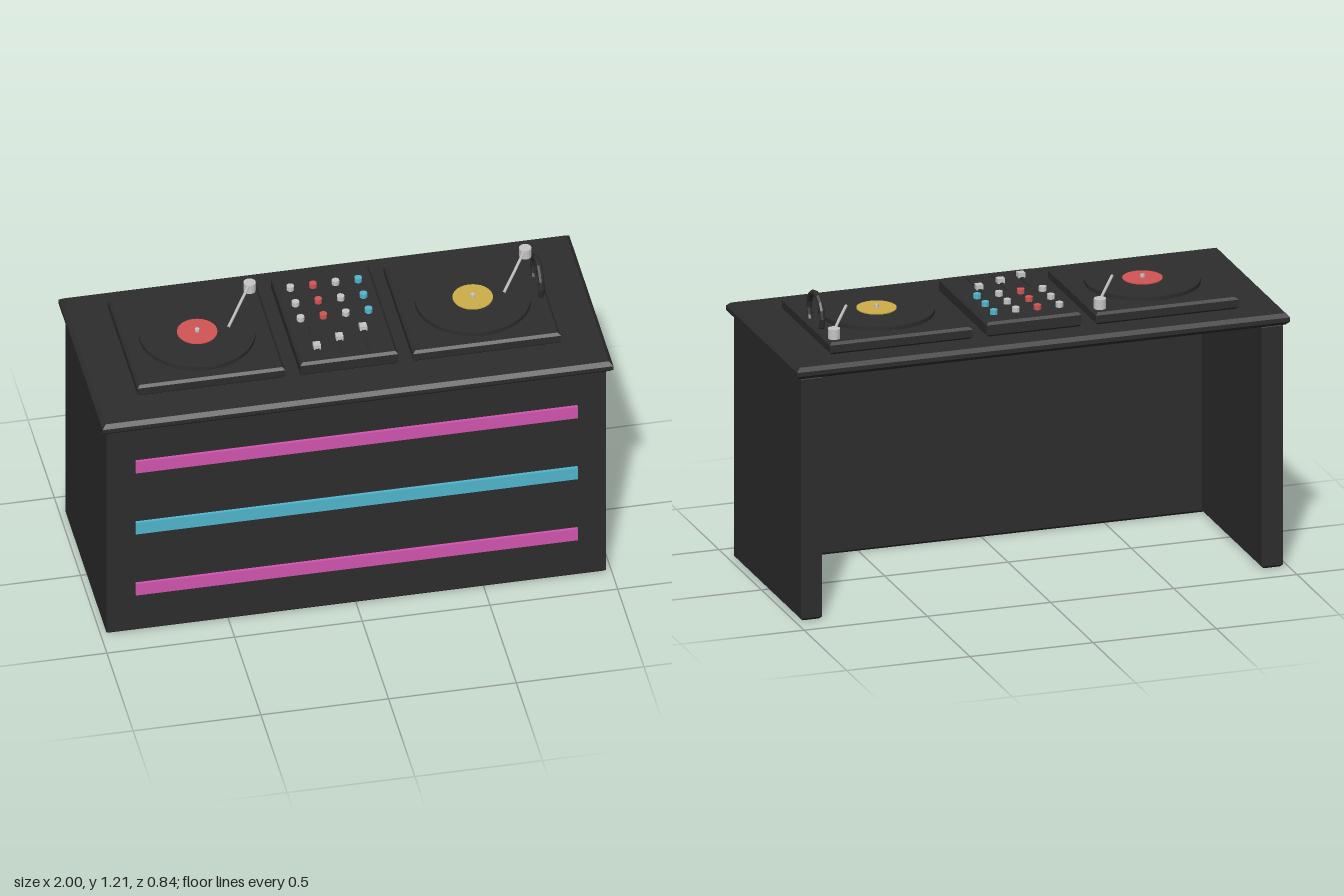
import * as THREE from 'three';

const mat = (name, color, side = THREE.FrontSide) => {
  const m = new THREE.MeshStandardMaterial({ color, flatShading: true, side });
  m.name = name;
  return m;
};

// Upright prism from an outline of [x, z] points, with chamfered edges.
function slab(points, y0, y1, c) {
  const shape = new THREE.Shape(points.map(([x, z]) => new THREE.Vector2(x, -z)));
  const geo = new THREE.ExtrudeGeometry(shape, {
    depth: y1 - y0 - 2 * c, bevelEnabled: true, bevelSize: c, bevelOffset: -c,
    bevelThickness: c, bevelSegments: 1, steps: 1,
  });
  return geo.rotateX(-Math.PI / 2).translate(0, y0 + c, 0);
}

const rect = (x0, x1, z0, z1) => [[x0, z1], [x1, z1], [x1, z0], [x0, z0]];

export function createModel() {
  const black = mat('charcoal', 0x2d2d2d);
  const silver = mat('silver', 0xc6c6c6);
  const pink = mat('pink', 0xd254b0);
  const cyan = mat('cyan', 0x50b6ce);
  const red = mat('red', 0xd25454);
  const yellow = mat('yellow', 0xceae4a);

  const model = new THREE.Group();
  model.name = 'djBooth';
  const add = (parent, name, geo, material, x = 0, y = 0, z = 0) => {
    const mesh = new THREE.Mesh(geo, material);
    mesh.name = name;
    mesh.position.set(x, y, z);
    parent.add(mesh);
    return mesh;
  };

  // Front and side panels as one U, open at the back and below
  const body = [
    [-0.978, 0.385], [0.978, 0.385], [0.978, -0.398], [0.892, -0.398],
    [0.892, 0.305], [-0.892, 0.305], [-0.892, -0.398], [-0.978, -0.398],
  ];
  add(model, 'deskPanels', slab(body, 0, 0.99, 0.01), black);
  add(model, 'deskTop', slab(rect(-1, 1, -0.42, 0.42), 0.985, 1.032, 0.015), black);

  // Light strips across the front
  [[0.207, pink], [0.502, cyan], [0.797, pink]].forEach(([y, m]) =>
    add(model, 'lightStrip', new THREE.BoxGeometry(1.73, 0.055, 0.02), m, 0, y, 0.387));

  // Turntables
  [[-0.541, red, 'rightTurntable'], [0.538, yellow, 'leftTurntable']].forEach(([x, labelMat, name]) => {
    const deck = new THREE.Group();
    deck.name = name;
    deck.position.x = x;
    model.add(deck);
    add(deck, 'deckBase', slab(rect(-0.289, 0.289, -0.303, 0.259), 1.03, 1.08, 0.01), black);
    add(deck, 'record', new THREE.CylinderGeometry(0.224, 0.224, 0.016, 40), black, 0, 1.088, -0.013);
    add(deck, 'recordLabel', new THREE.CylinderGeometry(0.078, 0.078, 0.005, 28), labelMat, 0, 1.0975, -0.013);
    add(deck, 'spindle', new THREE.CylinderGeometry(0.009, 0.009, 0.016, 10), silver, 0, 1.104, -0.013);
    add(deck, 'armPivot', new THREE.CylinderGeometry(0.024, 0.024, 0.04, 14), silver, 0.254, 1.1, -0.249);
    const path = new THREE.LineCurve3(
      new THREE.Vector3(0.254, 1.112, -0.249), new THREE.Vector3(0.117, 1.112, 0.006));
    add(deck, 'toneArm', new THREE.TubeGeometry(path, 1, 0.006, 8), silver);
  });

  // Mixer
  const mixer = new THREE.Group();
  mixer.name = 'mixer';
  model.add(mixer);
  add(mixer, 'mixerBase', slab(rect(-0.193, 0.191, -0.303, 0.259), 1.03, 1.09, 0.01), black);
  [[-0.136, silver], [-0.047, red], [0.041, silver], [0.13, cyan]].forEach(([x, m]) => {
    [-0.21, -0.11, -0.013].forEach((z) =>
      add(mixer, 'knob', new THREE.CylinderGeometry(0.015, 0.015, 0.02, 10), m, x, 1.099, z));
  });
  [[-0.11, 0.168], [-0.014, 0.13], [0.088, 0.087]].forEach(([x, z]) => {
    add(mixer, 'faderSlot', new THREE.BoxGeometry(0.014, 0.006, 0.18), black, x, 1.091, 0.13);
    add(mixer, 'faderCap', new THREE.BoxGeometry(0.028, 0.02, 0.028), silver, x, 1.1, z);
  });

  // Headphone band, standing half sunk in the deck
  const band = new THREE.TorusGeometry(0.079, 0.012, 8, 16).rotateY(Math.PI / 2);
  add(model, 'headband', band, black, 0.8, 1.12, -0.057);

  return model;
}
